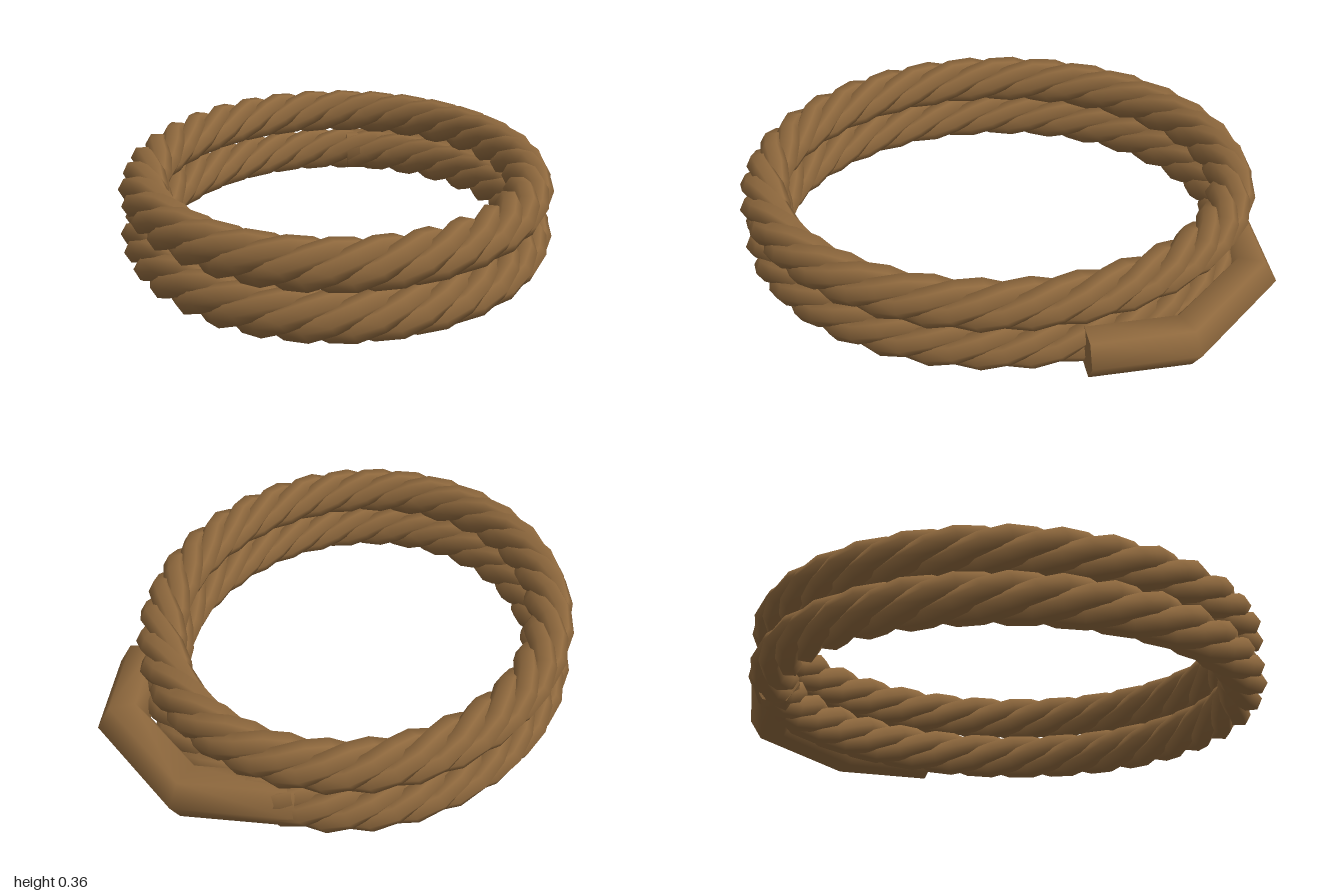
import * as THREE from 'three';

const UP = new THREE.Vector3(0, 1, 0);
const SIDES = 6;
const rope = new THREE.MeshStandardMaterial({ color: 0x8e683d });

// Sweeps a hexagon along points, with mitred bends and optional flat caps
function sweep(points, radius, closed) {
  const n = points.length, pos = [], index = [];
  const at = (i) => (closed ? points[(i + n) % n] : points[Math.min(n - 1, Math.max(0, i))]);
  for (let i = 0; i < n; i++) {
    const a = at(i).clone().sub(at(i - 1)).normalize();
    const b = at(i + 1).clone().sub(at(i)).normalize();
    const T = a.clone().add(b).normalize();
    const N = new THREE.Vector3().crossVectors(UP, T).normalize();
    const B = new THREE.Vector3().crossVectors(T, N);
    const mitre = closed ? 1 : 1 / Math.max(a.lengthSq() ? a.dot(T) : 1, 0.5);
    for (let j = 0; j < SIDES; j++) {
      const ang = (j / SIDES) * Math.PI * 2;
      const p = at(i).clone()
        .addScaledVector(N, radius * mitre * Math.cos(ang))
        .addScaledVector(B, radius * Math.sin(ang));
      pos.push(p.x, p.y, p.z);
    }
  }
  const id = (i, j) => (i % n) * SIDES + (j % SIDES);
  for (let i = 0; i < (closed ? n : n - 1); i++) {
    for (let j = 0; j < SIDES; j++) {
      index.push(id(i, j), id(i, j + 1), id(i + 1, j + 1));
      index.push(id(i, j), id(i + 1, j + 1), id(i + 1, j));
    }
  }
  if (!closed) {
    for (const i of [0, n - 1]) {
      const base = pos.length / 3;
      pos.push(...pos.slice(i * SIDES * 3, (i + 1) * SIDES * 3));
      for (let j = 1; j < SIDES - 1; j++) {
        index.push(base, ...(i ? [base + j, base + j + 1] : [base + j + 1, base + j]));
      }
    }
  }
  const geo = new THREE.BufferGeometry();
  geo.setAttribute('position', new THREE.Float32BufferAttribute(pos, 3));
  geo.setIndex(index);
  geo.computeVertexNormals();
  return geo;
}

// One strand twisting around an oval loop
function strandPoints(y, phase) {
  const rx = 0.73, rz = 0.893, turns = 8, steps = 64, lay = 0.05;
  const points = [];
  for (let i = 0; i < steps; i++) {
    const t = (i / steps) * Math.PI * 2;
    const phi = phase - turns * t;
    const out = new THREE.Vector3(Math.cos(t) / rx, 0, Math.sin(t) / rz).normalize();
    points.push(new THREE.Vector3(-0.03 + rx * Math.cos(t), y, 0.01 + rz * Math.sin(t))
      .addScaledVector(out, lay * Math.cos(phi))
      .addScaledVector(UP, lay * Math.sin(phi)));
  }
  return points;
}

export function createModel() {
  const model = new THREE.Group();
  model.name = 'ropeCoil';

  // Two stacked loops of four-strand rope
  [['lowerLoop', 0.097], ['upperLoop', 0.275]].forEach(([name, y]) => {
    const loop = new THREE.Group();
    loop.name = name;
    for (let k = 0; k < 4; k++) {
      const strand = new THREE.Mesh(sweep(strandPoints(y, (k * Math.PI) / 2), 0.045, true), rope);
      strand.name = 'strand' + (k + 1);
      loop.add(strand);
    }
    model.add(loop);
  });

  // Plain bent length of rope at the back left of the lower loop
  const path = [[0, -0.877], [0.38, -0.908], [0.708, -0.617], [0.755, -0.265]]
    .map(([x, z]) => new THREE.Vector3(x, 0.097, z));
  const tail = new THREE.Mesh(sweep(path, 0.09, false), rope);
  tail.name = 'looseEnd';
  model.add(tail);

  return model;
}
